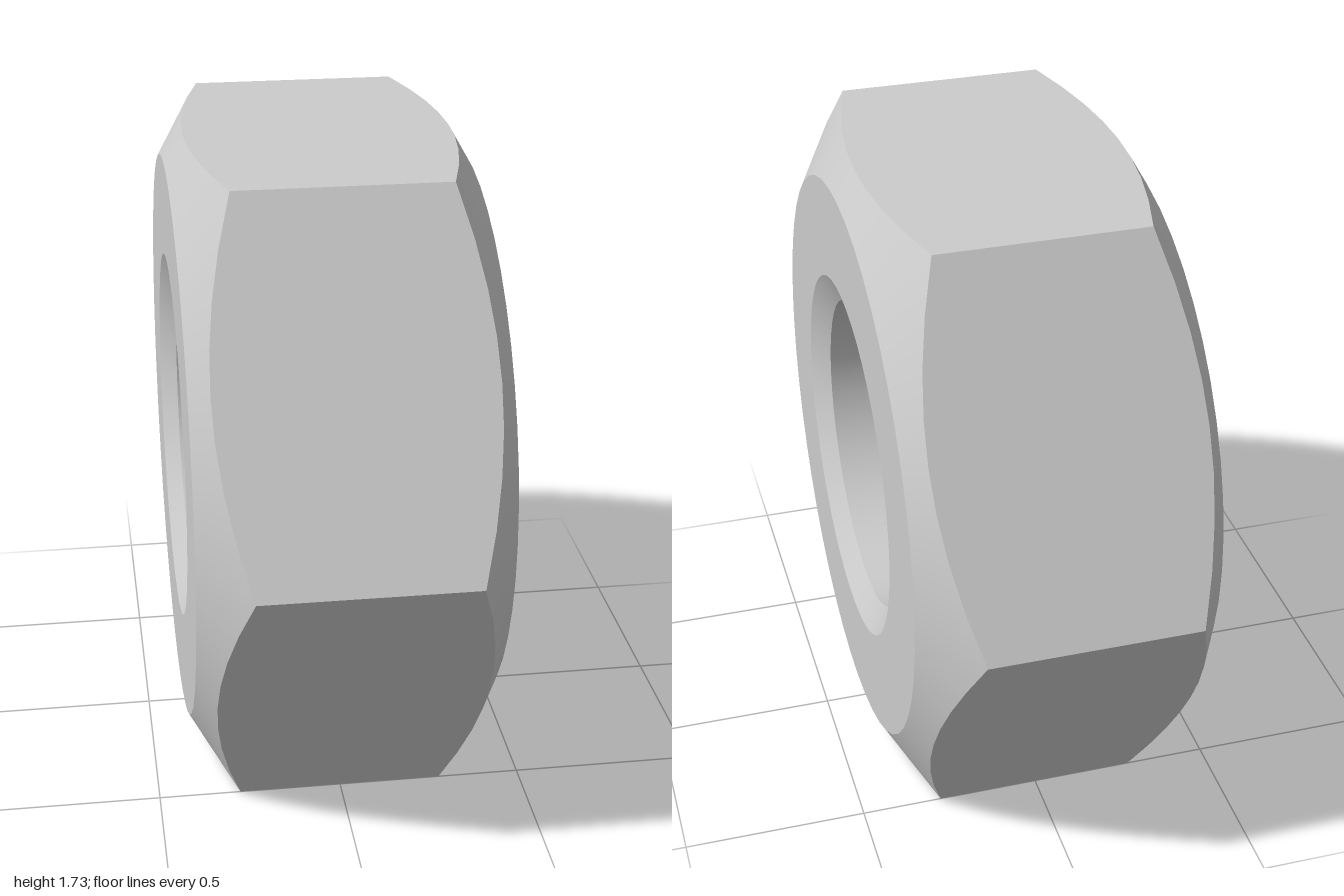
import * as THREE from 'three';

const SIDES = 6, SEGMENTS = 48;
const HALF = 0.405;                 // half thickness along x
const FACE_R = 0.78;                // edge of the flat washer face
const BORE_R = 0.43, SINK_R = 0.505;
const APOTHEM = Math.sqrt(3) / 2;   // corner radius is 1
const SLOPE = Math.tan(Math.PI / 6);
const SINK_X = HALF - (SINK_R - BORE_R) * SLOPE;

const chamferHeight = (r) => HALF - (r - FACE_R) * SLOPE;

// distance from the axis to the hexagon outline, corners at multiples of 60 degrees
function hexRadius(angle) {
  const step = (2 * Math.PI) / SIDES;
  const a = ((angle % step) + step) % step;
  return APOTHEM / Math.cos(a - step / 2);
}

// one band of revolution between two [radius, height] points
function band(from, to) {
  const geometry = new THREE.LatheGeometry(
    [new THREE.Vector2(...from), new THREE.Vector2(...to)], SEGMENTS);
  geometry.normalizeNormals();
  return geometry;
}

// pull the vertices at radius 1 onto the hexagon, following the chamfer cone
function fitToHexagon(geometry) {
  const p = geometry.attributes.position;
  for (let i = 0; i < p.count; i++) {
    const x = p.getX(i), y = p.getY(i), z = p.getZ(i);
    if (Math.hypot(x, z) < 0.99) continue;
    const angle = Math.atan2(x, z), r = hexRadius(angle);
    p.setXYZ(i, r * Math.sin(angle), Math.sign(y) * chamferHeight(r), r * Math.cos(angle));
  }
  return geometry;
}

export function createModel() {
  const nut = new THREE.Group();
  nut.name = 'hexNut';
  const material = new THREE.MeshStandardMaterial({ color: 0xcccccc });

  const add = (name, geometry) => {
    geometry.rotateZ(-Math.PI / 2); // lay the axis along x
    const mesh = new THREE.Mesh(geometry, material);
    mesh.name = name;
    mesh.position.y = APOTHEM;
    nut.add(mesh);
  };

  // six flat sides with curved ends
  const edge = chamferHeight(1);
  const flats = fitToHexagon(band([1, -edge], [1, edge])).toNonIndexed();
  flats.computeVertexNormals();
  add('hexSides', flats);

  // both ends: conical chamfer, flat face, countersink
  for (const [side, s] of [['left', 1], ['right', -1]]) {
    const endBand = (a, b) => {
      const ends = [[a[0], s * a[1]], [b[0], s * b[1]]];
      return s > 0 ? band(...ends) : band(ends[1], ends[0]);
    };
    add(side + 'Chamfer', fitToHexagon(endBand([1, edge], [FACE_R, HALF])));
    add(side + 'Face', endBand([FACE_R, HALF], [SINK_R, HALF]));
    add(side + 'Countersink', endBand([SINK_R, HALF], [BORE_R, SINK_X]));
  }

  // through hole
  add('bore', band([BORE_R, SINK_X], [BORE_R, -SINK_X]));

  return nut;
}
